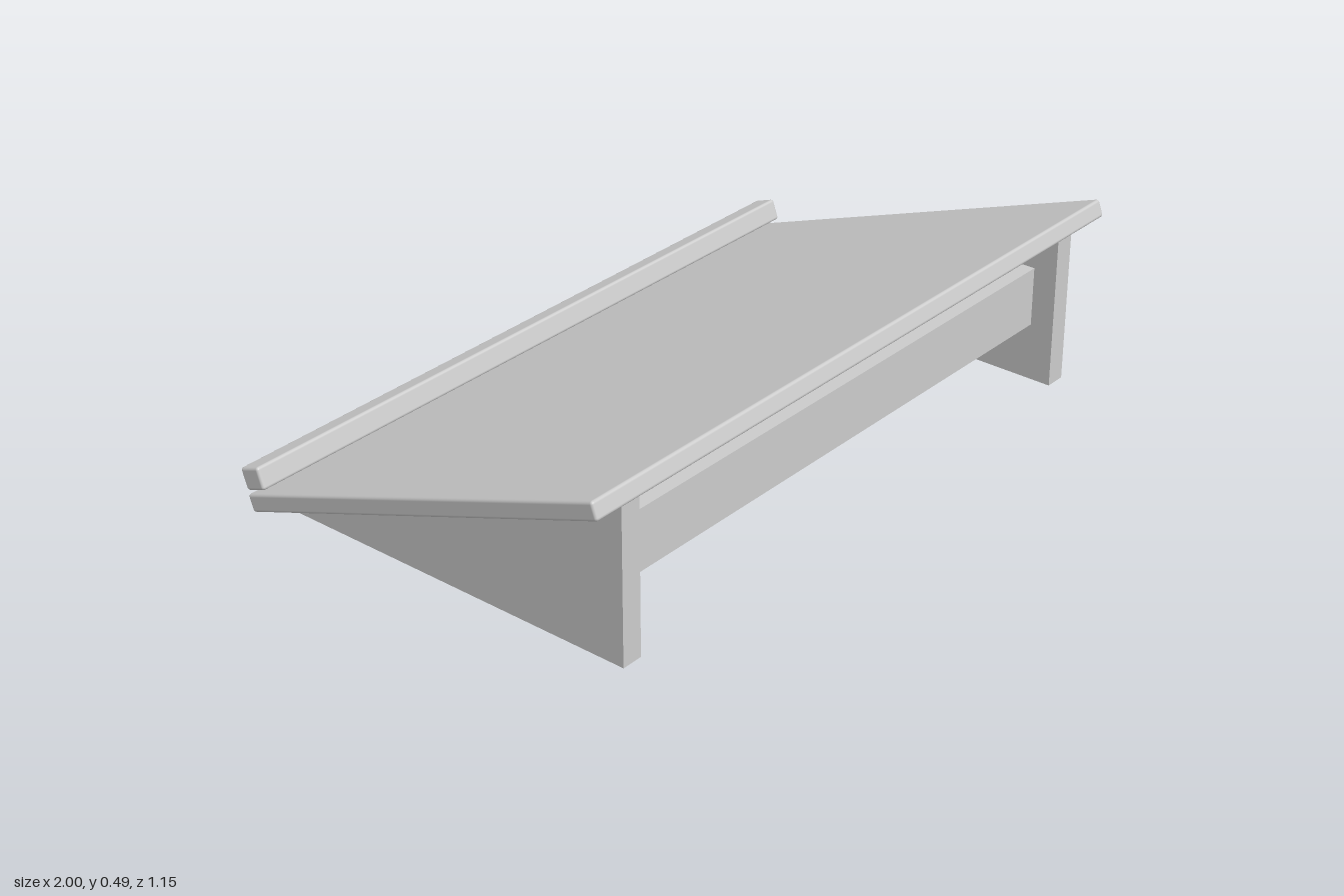
import * as THREE from 'three';
import { RoundedBoxGeometry } from 'three/addons/geometries/RoundedBoxGeometry.js';

export function createModel() {
  const model = new THREE.Group();
  model.name = 'slantedDeskStand';
  const material = new THREE.MeshStandardMaterial({ color: 0xcccccc });
  const tilt = THREE.MathUtils.degToRad(-20);

  const add = (name, geometry, x, y, z, rotX = 0) => {
    const mesh = new THREE.Mesh(geometry, material);
    mesh.name = name;
    mesh.position.set(x, y, z);
    mesh.rotation.x = rotX;
    model.add(mesh);
  };

  // Sloping board and the stop ledge along its low edge, edges slightly eased
  add('board', new RoundedBoxGeometry(2, 0.048, 1.19, 2, 0.008), 0, 0.262, 0.011, tilt);
  add('ledge', new RoundedBoxGeometry(2, 0.06, 0.066, 2, 0.008), 0, 0.131, -0.535, tilt);

  // Wedge-shaped side supports: profile in (z, y), extruded across x
  const legWidth = 0.06;
  const profile = new THREE.Shape();
  profile.moveTo(-0.55, 0);
  profile.lineTo(0.52, 0);
  profile.lineTo(0.52, 0.043);
  profile.lineTo(-0.55, 0.432);
  profile.closePath();
  const wedge = new THREE.ExtrudeGeometry(profile, { depth: legWidth, bevelEnabled: false });
  wedge.translate(0, 0, -legWidth / 2);
  wedge.rotateY(Math.PI / 2);
  add('leftSupport', wedge, 0.86, 0, 0);
  add('rightSupport', wedge, -0.86, 0, 0);

  // Cross rail joining the supports beneath the high edge
  add('crossRail', new THREE.BoxGeometry(1.66, 0.165, 0.085), 0, 0.2425, 0.44);

  return model;
}
